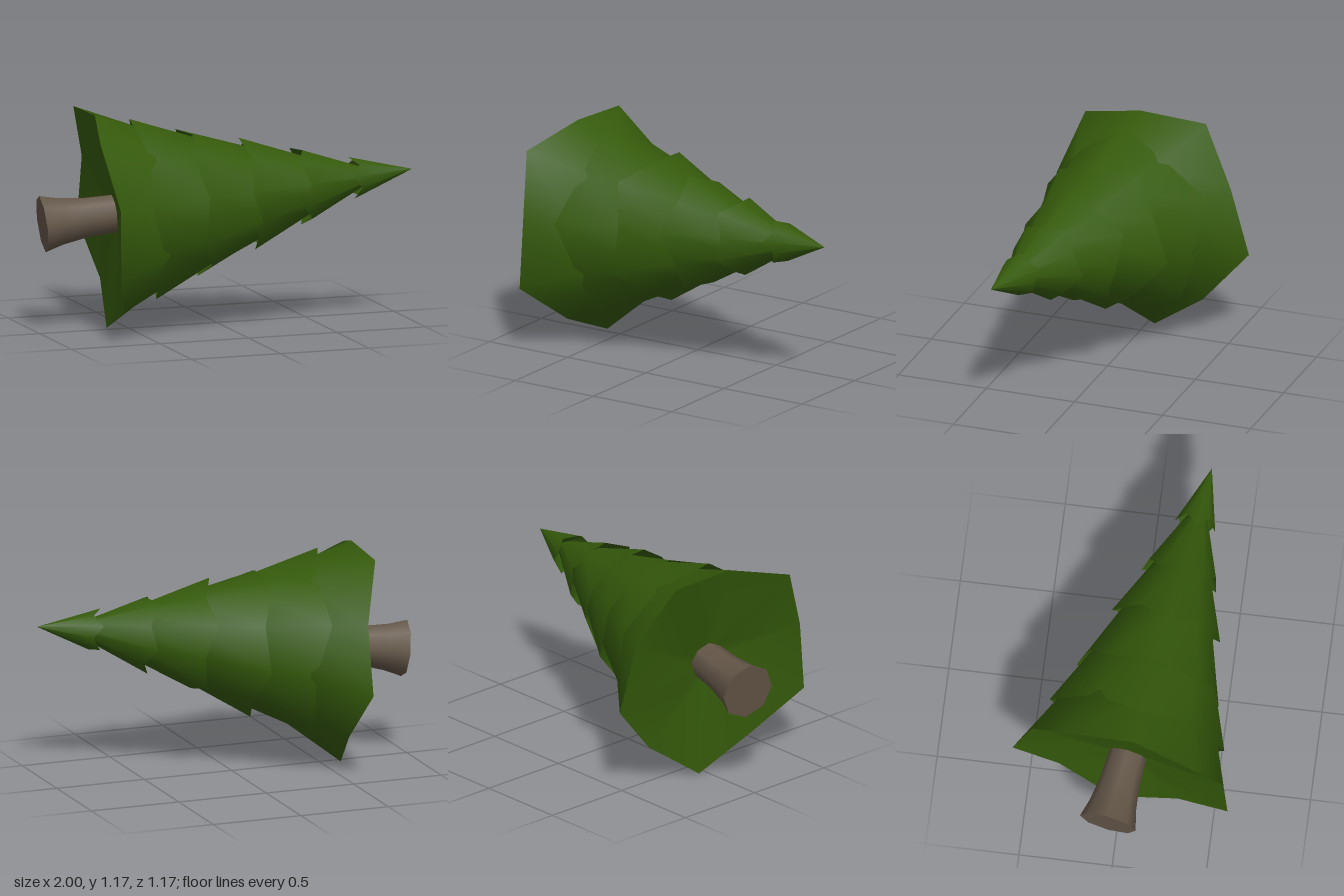
import * as THREE from 'three';

const SPIKES = 10;
const TIP = 2.012; // height of the tip above the trunk's foot
const SPREAD = 0.89; // notch radius relative to point radius
const LIFT = 0.047; // how far notches sit above points
const TUCK = 0.1; // how far the underside rises into the tier
const OVERHANG = 0.08; // how far a tier stands out over the one below

// [height along the trunk, radius of the points]
const TIERS = [
  [0.291, 0.627], [0.522, 0.509], [0.806, 0.415],
  [1.097, 0.316], [1.388, 0.217], [1.676, 0.118],
];

// Ring of points around the trunk; odd ones may be pulled in and lifted
function ring(t, r, phase, spread = 1, lift = 0) {
  const out = [];
  for (let j = 0; j < SPIKES; j++) {
    const a = phase + (j / SPIKES) * Math.PI * 2;
    const notch = j % 2;
    const rr = notch ? r * spread : r;
    out.push(rr * Math.cos(a), t + notch * lift, rr * Math.sin(a));
  }
  return out;
}

// Smooth strip between two rings, facing out when the first is the lower
function strip(first, second, flip) {
  const faces = [];
  for (let j = 0; j < SPIKES; j++) {
    const k = (j + 1) % SPIKES;
    const [a, b] = flip ? [k, j] : [j, k];
    faces.push(a, a + SPIKES, b, b, a + SPIKES, b + SPIKES);
  }
  const g = new THREE.BufferGeometry();
  g.setAttribute('position', new THREE.Float32BufferAttribute([...first, ...second], 3));
  g.setIndex(faces);
  g.computeVertexNormals();
  return g;
}

export function createModel() {
  const green = new THREE.MeshStandardMaterial({ color: 0x355a0b });
  green.name = 'needle green';
  const brown = new THREE.MeshStandardMaterial({ color: 0x645648 });
  brown.name = 'bark brown';

  const tree = new THREE.Group();
  tree.name = 'firTree';
  const add = (geometry, material, name, parent = tree) => {
    const mesh = new THREE.Mesh(geometry, material);
    mesh.name = name;
    parent.add(mesh);
  };

  // Flared trunk with a flat foot
  const profile = [[0.154, 0], [0.127, 0.1], [0.108, 0.23], [0.1, 0.45]]
    .map(([r, y]) => new THREE.Vector2(r, y));
  add(new THREE.LatheGeometry(profile, 8), brown, 'trunk');
  add(new THREE.CircleGeometry(0.154, 8).rotateX(Math.PI / 2), brown, 'trunkFoot');

  // Six tiers of branches, each turned by one notch
  TIERS.forEach(([t, r], i) => {
    const tier = new THREE.Group();
    tier.name = `branchTier${i + 1}`;
    tree.add(tier);
    const phase = THREE.MathUtils.degToRad(i % 2 ? 84.5 : 120.5);
    const next = TIERS[i + 1];
    const low = ring(t, r, phase, SPREAD, LIFT);
    const high = next
      ? ring(next[0] + TUCK, next[1] - OVERHANG, phase)
      : ring(TIP, 0.0005, phase);
    // The lowest underside closes on the trunk, the others on the tier below
    const inner = ring(t + TUCK, i ? r - OVERHANG : 0.09, phase);
    add(strip(low, high, false), green, 'branches', tier);
    add(strip(low, inner, true), green, 'underside', tier);
  });

  // Lay the tree on its side, leaning slightly up and forward
  const axis = new THREE.Vector3(1.97, 0.232, 0.312).normalize();
  const across = new THREE.Vector3(0, 0, 1).addScaledVector(axis, -axis.z).normalize();
  const up = new THREE.Vector3().crossVectors(across, axis);
  tree.quaternion.setFromRotationMatrix(new THREE.Matrix4().makeBasis(across, axis, up));
  tree.position.set(-0.975, 0.585, -0.027);

  const model = new THREE.Group();
  model.name = 'fallenFirTree';
  model.add(tree);
  return model;
}
